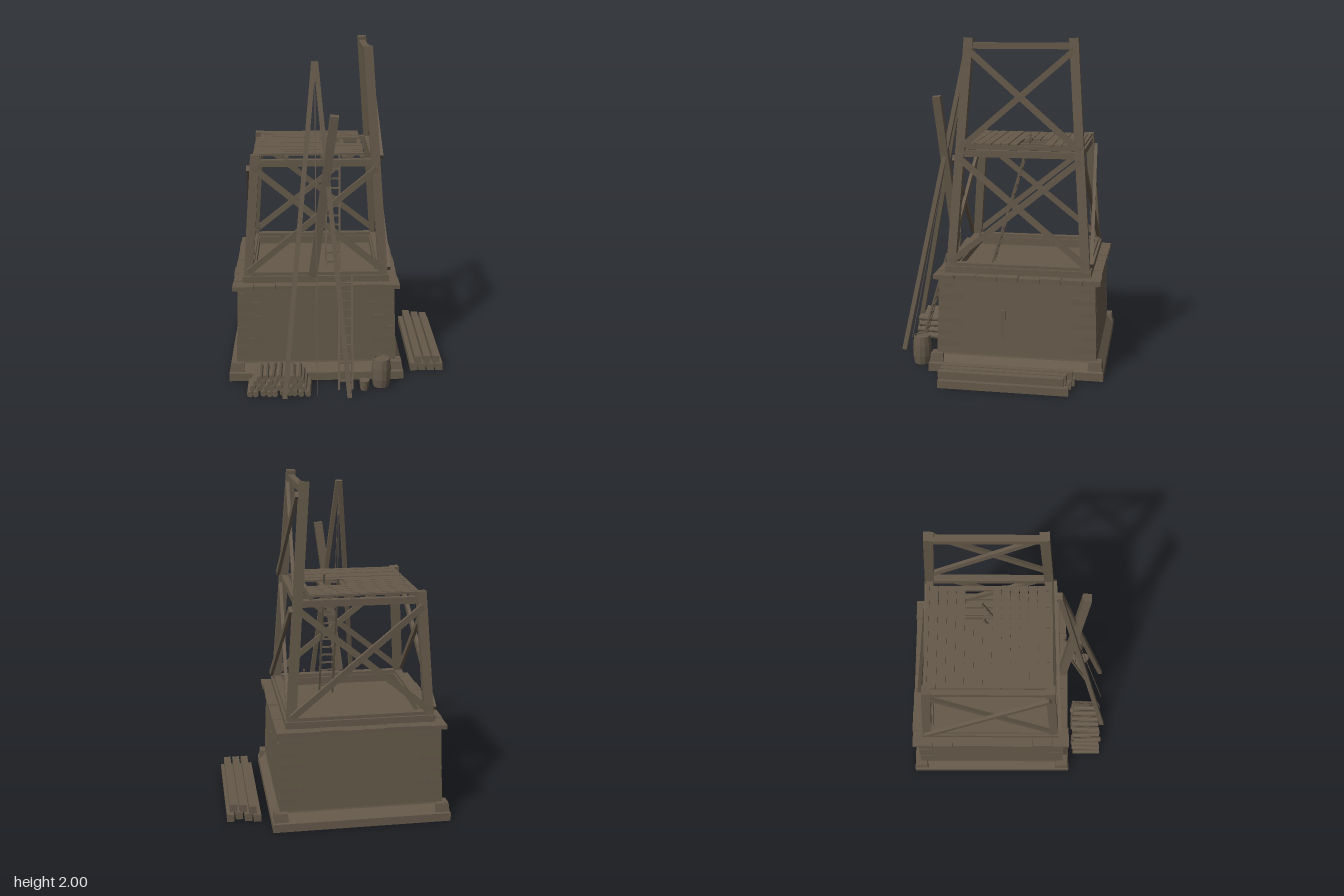
import * as THREE from 'three';

const C = -0.13; // tower axis in x and z
const timber = new THREE.MeshStandardMaterial({ color: 0x65594a });
timber.name = 'weatheredBrown';

let seed = 7;
const rnd = () => ((seed = (seed * 16807) % 2147483647) / 2147483647);
const jit = (a) => (rnd() - 0.5) * 2 * a;
const V = (x, y, z) => new THREE.Vector3(x, y, z);

function add(parent, geo, name) {
  const m = new THREE.Mesh(geo, timber);
  m.name = name;
  parent.add(m);
  return m;
}

// Box from its lower and upper corners
function slab(parent, name, x0, x1, y0, y1, z0, z1) {
  const m = add(parent, new THREE.BoxGeometry(x1 - x0, y1 - y0, z1 - z0), name);
  m.position.set((x0 + x1) / 2, (y0 + y1) / 2, (z0 + z1) / 2);
}

// Squared beam between two points; h is measured towards up
function beam(parent, name, a, b, w, h = w) {
  const m = add(parent, new THREE.BoxGeometry(w, h, a.distanceTo(b)), name);
  m.position.copy(a).lerp(b, 0.5);
  const d = b.clone().sub(a);
  const up = Math.hypot(d.x, d.z) < Math.abs(d.y) * 0.35 ? V(0, 0, 1) : V(0, 1, 0);
  m.quaternion.setFromRotationMatrix(new THREE.Matrix4().lookAt(b, a, up));
}

// Square ring swept from a [half width, y] profile
function squareRing(parent, name, profile) {
  const pts = profile.map(([h, y]) => new THREE.Vector2(h * Math.SQRT2, y));
  const geo = new THREE.LatheGeometry(pts, 4, Math.PI / 4).toNonIndexed();
  geo.computeVertexNormals();
  add(parent, geo, name).position.set(C, 0, C);
}

function group(parent, name) {
  const g = new THREE.Group();
  g.name = name;
  parent.add(g);
  return g;
}

const CORNERS = [[1, 1], [1, -1], [-1, 1], [-1, -1]];
const wallHalf = (y) => 0.485 - 0.033 * (y - 0.11);
const legOff = (y) => 0.405 - 0.071 * (y - 0.66);

function stoneBase(root) {
  const g = group(root, 'stoneBase');
  // hollow shell with a sloped plinth
  squareRing(g, 'wall', [[0.522, 0], [0.53, 0], [0.53, 0.05], [0.487, 0.1], [0.485, 0.11], [0.47, 0.575],
    [0.462, 0.575], [0.477, 0.11], [0.479, 0.1], [0.522, 0.05], [0.522, 0]]);
  slab(g, 'floor', C - 0.465, C + 0.465, 0.56, 0.58, C - 0.465, C + 0.465);
  for (const [sx, sz] of CORNERS) {
    // plinth corner block
    const geo = new THREE.BoxGeometry(0.1, 0.11, 0.1);
    const p = geo.attributes.position;
    for (let i = 0; i < p.count; i++) {
      if (p.getY(i) > 0) p.setXYZ(i, p.getX(i) * 0.75, p.getY(i), p.getZ(i) * 0.75);
    }
    geo.computeVertexNormals();
    add(g, geo, 'plinthCorner').position.set(C + sx * 0.48, 0.055, C + sz * 0.48);
    // alternating quoins
    for (let i = 0; i < 6; i++) {
      const y = 0.15 + i * 0.072, a = i % 2 ? 0.15 : 0.09, b = 0.24 - a;
      const h = wallHalf(y);
      const q = add(g, new THREE.BoxGeometry(a, 0.068, b), 'quoin');
      q.position.set(C + sx * (h - a / 2), y, C + sz * (h - b / 2));
    }
  }
  // coping slabs on each side
  for (let s = 0; s < 4; s++) {
    const side = group(g, 'coping');
    side.position.set(C, 0, C);
    side.rotation.y = (s * Math.PI) / 2;
    for (let i = 0; i < 7; i++) {
      const x0 = -0.5 + (i * 0.9) / 7;
      slab(side, 'copingSlab', x0, x0 + 0.9 / 7 - 0.002, 0.572, 0.6 + jit(0.003), 0.4, 0.5 + jit(0.004));
    }
  }
  // putlog stones and window slit
  for (const u of [-0.36, -0.02, 0.33]) {
    slab(g, 'putlogFront', C + u - 0.016, C + u + 0.016, 0.455, 0.487, 0.342, 0.351);
    if (u !== -0.02) slab(g, 'putlogSide', 0.342, 0.351, 0.455, 0.487, C + u - 0.016, C + u + 0.016);
  }
  slab(g, 'windowSlit', 0.345, 0.354, 0.21, 0.39, -0.065, -0.04);
}

function tower(root) {
  const g = group(root, 'timberTower');
  squareRing(g, 'sill', [[0.37, 0.6], [0.44, 0.6], [0.44, 0.64], [0.37, 0.64], [0.37, 0.6]]);
  squareRing(g, 'upperSill', [[0.38, 0.64], [0.425, 0.64], [0.425, 0.66], [0.38, 0.66], [0.38, 0.64]]);
  // legs, tall on the left side
  for (const [sx, sz] of CORNERS) {
    const top = sx > 0 ? 1.998 : 1.37;
    const at = (y) => V(C + sx * legOff(y), y, C + sz * legOff(y));
    beam(g, 'leg', at(0.64), at(top), 0.054);
  }
  // crossed braces on one face
  const braces = (rot, y0, y1) => {
    const f = group(g, 'crossBraces');
    f.position.set(C, 0, C);
    f.rotation.y = rot;
    for (const [s, o] of [[1, 0.037], [-1, 0.018]]) {
      beam(f, 'brace', V(-s * legOff(y0), y0, legOff(y0) + o), V(s * legOff(y1), y1, legOff(y1) + o), 0.02, 0.036);
    }
  };
  for (let i = 0; i < 4; i++) braces((i * Math.PI) / 2, 0.67, 1.29);
  braces(Math.PI / 2, 1.35, 1.93);
  // platform frame
  squareRing(g, 'platformFrame', [[0.335, 1.3], [0.375, 1.3], [0.375, 1.34], [0.335, 1.34], [0.335, 1.3]]);
  const topX = C + legOff(1.955);
  slab(g, 'topRail', topX - 0.02, topX + 0.02, 1.935, 1.972, -0.45, 0.19);
  // joists
  for (const x of [-0.46, -0.3, -0.085, 0.042, 0.15]) slab(g, 'joist', x - 0.012, x + 0.012, 1.335, 1.36, -0.49, 0.23);
  // planks with hatch
  const step = 0.053;
  for (let i = 0; i < 13; i++) {
    const z0 = -0.477 + i * step;
    const x1 = i > 3 && i < 7 ? -0.095 : 0.16;
    slab(g, 'plank', -0.475, x1, 1.358, 1.371 + jit(0.002), z0, z0 + step - 0.004);
  }
  slab(g, 'edgePlank', -0.475, 0.16, 1.358, 1.37, -0.503, -0.481);
}

// Ladder from foot to head, both given at its middle
function ladder(root, foot, head, width, rungs) {
  const g = group(root, 'ladder');
  const side = V(width / 2, 0, 0);
  beam(g, 'rail', foot.clone().sub(side), head.clone().lerp(foot, 0.04).sub(side), 0.012);
  beam(g, 'rail', foot.clone().add(side), head.clone().add(side), 0.012);
  for (let i = 1; i <= rungs; i++) {
    const p = foot.clone().lerp(head, i / (rungs + 1));
    beam(g, 'rung', p.clone().sub(side), p.clone().add(side), 0.01);
  }
}

function hoist(root) {
  const g = group(root, 'hoist');
  const apex = V(C, 1.92, 0.26);
  for (const x of [-0.32, 0.06]) beam(g, 'hoistPole', V(x, 0.004, 0.645), V(C + Math.sign(x) * 0.006, 1.92, 0.26), 0.028);
  beam(g, 'liftedBeam', V(-0.148, 0.655, 0.335), V(-0.022, 1.635, 0.43), 0.05);
  beam(g, 'rope', apex, V(C, 0.66, 0.315), 0.004);
  beam(g, 'rope', apex, V(C, 0.02, 0.645), 0.004);
}

function supplies(root) {
  const g = group(root, 'supplies');
  // stacked logs
  for (let row = 0; row < 4; row++) {
    for (let i = 0; i < 10 - row; i++) {
      const geo = new THREE.CylinderGeometry(0.018, 0.018, 0.185, 8).toNonIndexed();
      geo.computeVertexNormals();
      const log = add(g, geo, 'log');
      log.rotation.set(Math.PI / 2, 0, jit(0.05));
      log.position.set(-0.525 + i * 0.038 + row * 0.019 + jit(0.003), 0.018 + row * 0.034, 0.522 + jit(0.01));
    }
  }
  // squared beams, four below and three above
  [-0.5, -0.485, -0.455, -0.48, -0.49, -0.46, -0.45].forEach((back, i) => {
    const top = i > 3, x = top ? 0.503 + (i - 4) * 0.056 : 0.477 + i * 0.0525, y = top ? 0.049 : 0;
    slab(g, 'spareBeam', x - 0.022, x + 0.022, y, y + 0.045, back, 0.284);
  });
  // barrel and bucket
  const turned = (name, pts, x, z) => {
    const geo = new THREE.LatheGeometry(pts.map((p) => new THREE.Vector2(...p)), 12).toNonIndexed();
    geo.computeVertexNormals();
    add(g, geo, name).position.set(x, 0, z);
  };
  turned('barrel', [[0, 0], [0.049, 0], [0.057, 0.05], [0.058, 0.12], [0.051, 0.175], [0.046, 0.175], [0.045, 0.167], [0, 0.167]], 0.257, 0.475);
  turned('bucket', [[0, 0], [0.024, 0], [0.031, 0.06], [0, 0.06]], 0.153, 0.532);
}

export function createModel() {
  const root = new THREE.Group();
  root.name = 'watchtower';
  stoneBase(root);
  tower(root);
  ladder(root, V(0.04, 0.003, 0.54), V(0.045, 0.66, 0.35), 0.08, 12);
  ladder(root, V(-0.02, 0.59, 0.075), V(-0.015, 1.42, -0.17), 0.085, 14);
  hoist(root);
  supplies(root);
  return root;
}
